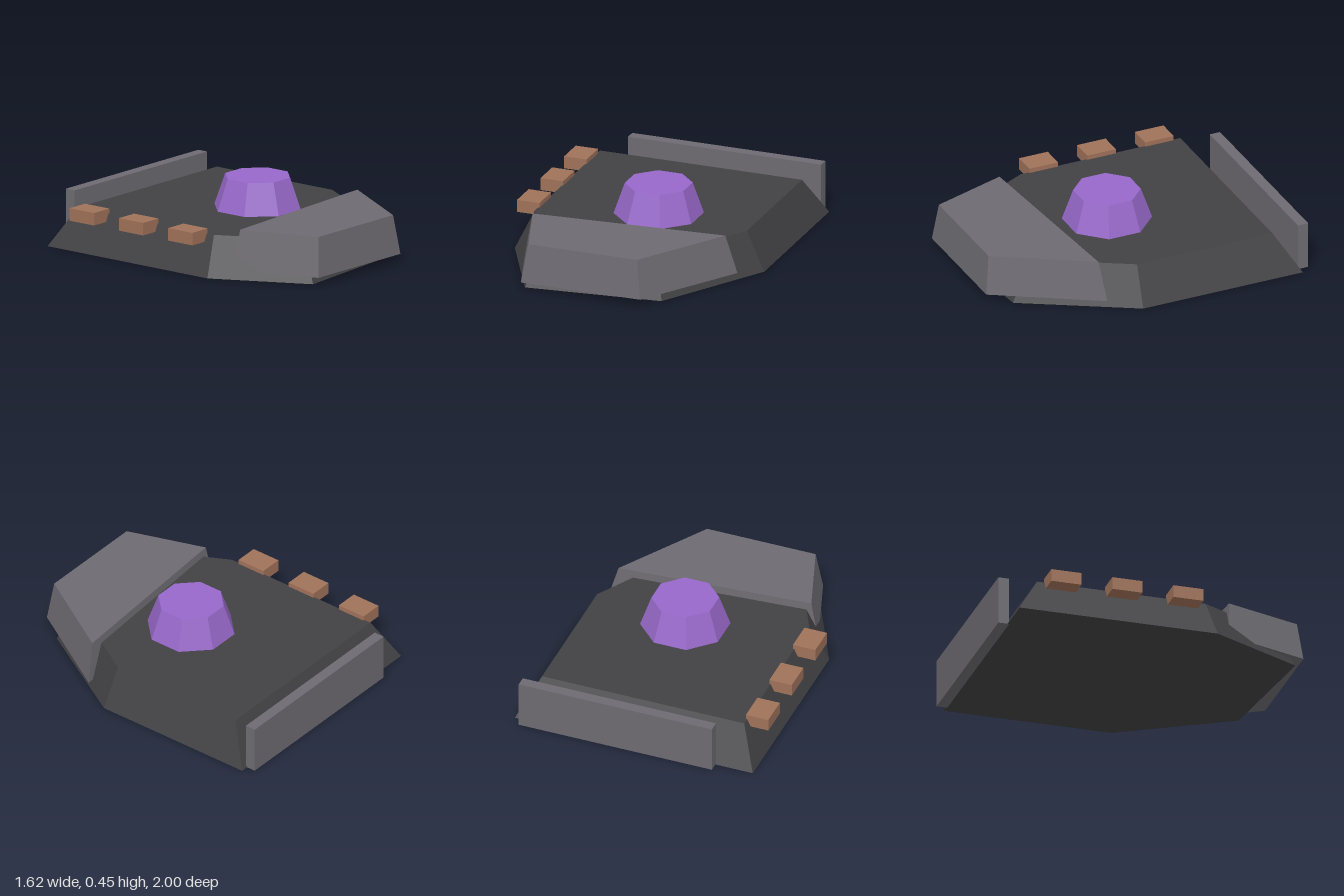
import * as THREE from 'three';
import { ConvexGeometry } from 'three/addons/geometries/ConvexGeometry.js';

const mat = (name, color) => {
  const m = new THREE.MeshStandardMaterial({ color, flatShading: true });
  m.name = name;
  return m;
};

// Solid between a ground outline [x, z] at y0 and the same outline shrunk about (cx, cz) at y1
function taperedSlab(outline, y0, y1, scale, cx, cz) {
  const points = [];
  for (const [x, z] of outline) {
    points.push(new THREE.Vector3(x, y0, z));
    points.push(new THREE.Vector3(cx + (x - cx) * scale, y1, cz + (z - cz) * scale));
  }
  return new ConvexGeometry(points);
}

export function createModel() {
  const group = new THREE.Group();
  const hullGrey = mat('dark hull grey', 0x414144);
  const plateGrey = mat('plate grey', 0x6d6b71);
  const copper = mat('copper brown', 0xa0725a);
  const purple = mat('purple', 0x9768c9);

  const add = (name, geometry, material, x = 0, y = 0, z = 0) => {
    const mesh = new THREE.Mesh(geometry, material);
    mesh.name = name;
    mesh.position.set(x, y, z);
    group.add(mesh);
  };

  // Hull with sloping sides and a pointed front
  add('hull', taperedSlab([
    [-0.785, -0.94], [0.805, -0.94], [0.805, 0.155],
    [0.395, 0.855], [-0.48, 0.95], [-0.785, 0.35],
  ], 0, 0.25, 0.85, -0.01, 0.06), hullGrey);

  // Sloped armour over the nose
  add('frontPlate', taperedSlab([
    [-0.67, 0.457], [0.705, 0.355], [0.31, 1.0], [-0.487, 1.0],
  ], 0.05, 0.3, 0.91, -0.07, 0.66), plateGrey);

  // Upright plate across the rear
  add('rearPlate', new THREE.BoxGeometry(1.29, 0.31, 0.07), plateGrey, 0.11, 0.155, -0.965);

  // Eight-sided turret
  add('turret', new THREE.CylinderGeometry(0.211, 0.281, 0.2, 8, 1, false, Math.PI / 8),
    purple, 0.06, 0.35, 0.055);

  // Row of blocks along the right edge
  const block = new THREE.BoxGeometry(0.15, 0.08, 0.196);
  for (let i = 0; i < 3; i++) {
    add('sideBlock' + (i + 1), block, copper, -0.735, 0.24, -0.643 + i * 0.397);
  }
  return group;
}
